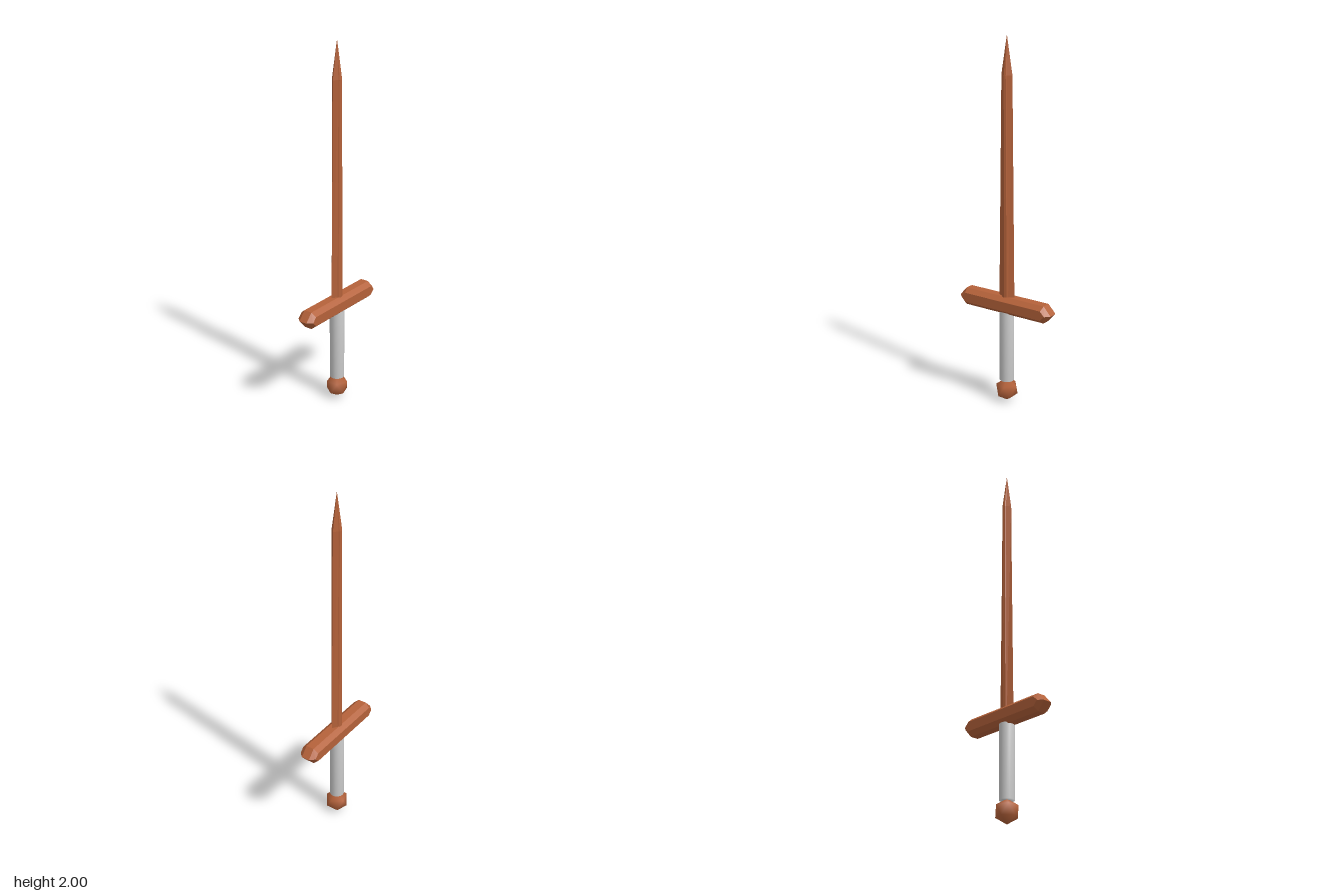
import * as THREE from 'three';
import { mergeVertices } from 'three/addons/utils/BufferGeometryUtils.js';
import { ConvexGeometry } from 'three/addons/geometries/ConvexGeometry.js';

const BROWN = 0xb5623a;

// Share all vertices so that shading runs smoothly over every edge
function smooth(geometry) {
  geometry.deleteAttribute('normal');
  geometry.deleteAttribute('uv');
  const merged = mergeVertices(geometry, 1e-4);
  merged.computeVertexNormals();
  return merged;
}

// Blade cross-section: two sharp edges with a raised ridge on both faces
function bladeSection(y, edge, ridge, thick) {
  const quarter = [[edge, 0], [ridge * 1.35, thick * 0.68], [ridge, thick * 0.88], [0, thick]];
  const half = [...quarter, ...quarter.slice(1, 3).reverse().map(([x, z]) => [-x, z])];
  return [...half, ...half.map(([x, z]) => [-x, -z])].map(([x, z]) => [x, y, z]);
}

function bladeGeometry() {
  const rings = [
    bladeSection(0.57, 0.049, 0.015, 0.028),
    bladeSection(1.8, 0.034, 0.01, 0.028),
    bladeSection(2.0, 0.0005, 0.0002, 0.0005),
  ];
  const n = rings[0].length;
  const positions = [];
  for (let r = 0; r < rings.length - 1; r++) {
    for (let i = 0; i < n; i++) {
      const j = (i + 1) % n;
      const a = rings[r][i], b = rings[r][j], c = rings[r + 1][i], d = rings[r + 1][j];
      positions.push(...a, ...c, ...b, ...b, ...c, ...d);
    }
  }
  const geometry = new THREE.BufferGeometry();
  geometry.setAttribute('position', new THREE.Float32BufferAttribute(positions, 3));
  geometry.computeVertexNormals();
  return geometry;
}

// Chamfered bar with wedge-shaped ends
function guardGeometry() {
  const points = [];
  for (const x of [-1, 1]) {
    for (const z of [-1, 1]) {
      points.push(new THREE.Vector3(x * 0.293, 0, z * 0.023));
      points.push(new THREE.Vector3(x * 0.268, 0, z * 0.049));
      for (const y of [-1, 1]) {
        points.push(new THREE.Vector3(x * 0.25, y * 0.048, z * 0.023));
        points.push(new THREE.Vector3(x * 0.243, y * 0.026, z * 0.049));
      }
    }
  }
  return new ConvexGeometry(points);
}

export function createModel() {
  const group = new THREE.Group();
  const flatBrown = new THREE.MeshStandardMaterial({ color: BROWN, flatShading: true });
  const smoothBrown = new THREE.MeshStandardMaterial({ color: BROWN });
  const grey = new THREE.MeshStandardMaterial({ color: 0xcccccc });

  const add = (name, geometry, material, y = 0) => {
    const mesh = new THREE.Mesh(geometry, material);
    mesh.name = name;
    mesh.position.y = y;
    group.add(mesh);
  };

  add('blade', bladeGeometry(), flatBrown);
  add('crossGuard', guardGeometry(), flatBrown, 0.563);
  add('grip', smooth(new THREE.CylinderGeometry(0.04, 0.04, 0.4, 16)), grey, 0.322);

  // Pommel: icosahedron standing on one corner
  const pommel = new THREE.IcosahedronGeometry(0.0655, 0);
  pommel.rotateZ(-Math.atan(2 / (1 + Math.sqrt(5))));
  add('pommel', smooth(pommel), smoothBrown, 0.0655);

  return group;
}
